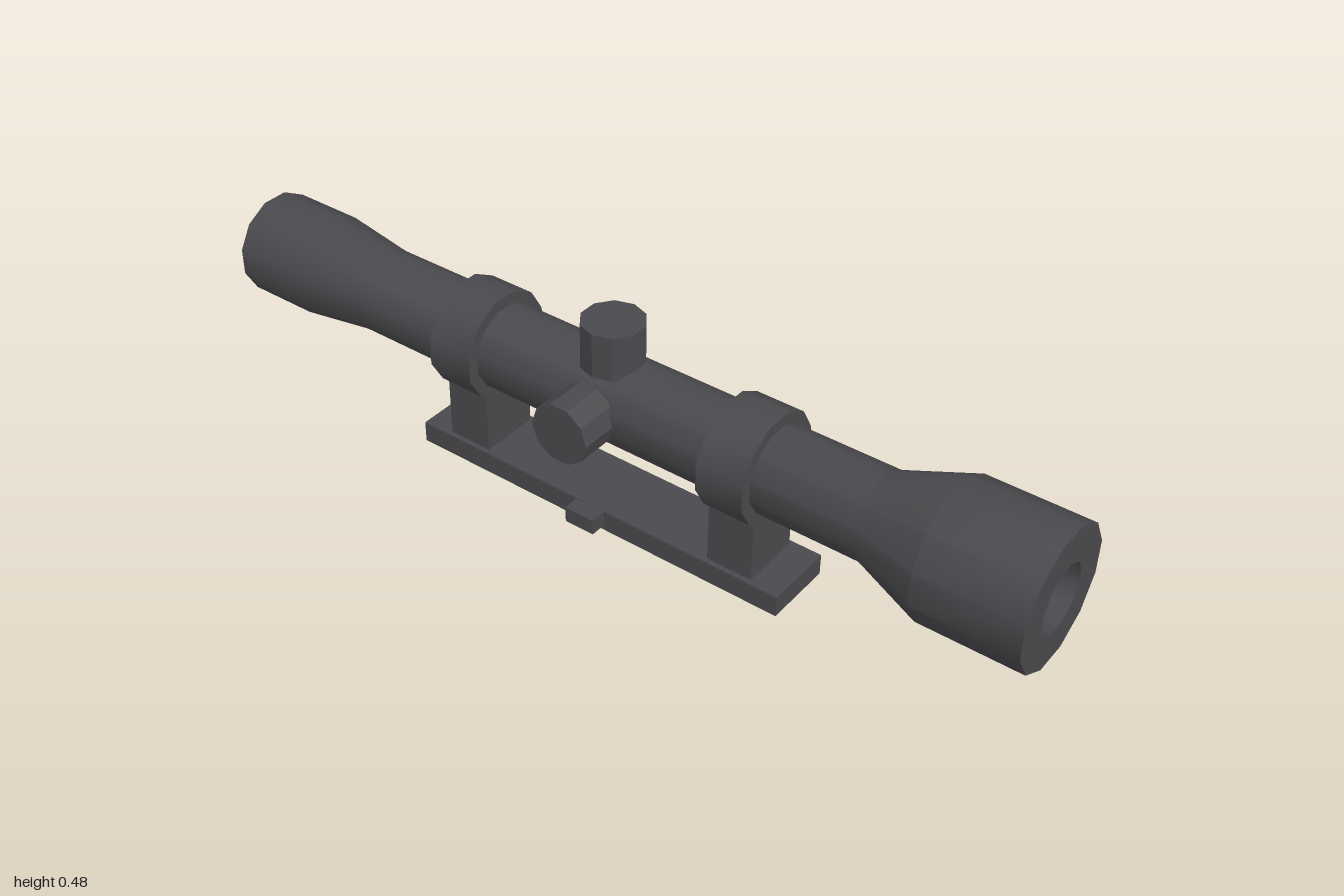
import * as THREE from 'three';
import { toCreasedNormals } from 'three/addons/utils/BufferGeometryUtils.js';

const AXIS_Y = 0.293, AXIS_Z = -0.015; // optical axis runs along x
const SIDES = 12;
const CREASE = 0.58; // 30 degree facets blend, 36 degree facets stay sharp

export function createModel() {
  const model = new THREE.Group();
  model.name = 'telescopicSight';
  const metal = new THREE.MeshStandardMaterial({ color: 0x4a494d });
  metal.name = 'darkGunmetal';

  function add(name, geometry, x, y, z) {
    const mesh = new THREE.Mesh(geometry, metal);
    mesh.name = name;
    mesh.position.set(x, y, z);
    model.add(mesh);
    return mesh;
  }

  // Box given by its limits on each axis
  function box(name, [x0, x1], [y0, y1], [z0, z1]) {
    return add(name, new THREE.BoxGeometry(x1 - x0, y1 - y0, z1 - z0),
      (x0 + x1) / 2, (y0 + y1) / 2, (z0 + z1) / 2);
  }

  // Twelve-sided turning along x; the profile is [distance to flat, x]
  function turned(name, profile) {
    const points = profile.map(([r, x]) => new THREE.Vector2(r / Math.cos(Math.PI / SIDES), x));
    const geometry = new THREE.LatheGeometry(points, SIDES, Math.PI / SIDES);
    geometry.rotateZ(-Math.PI / 2);
    return add(name, toCreasedNormals(geometry, CREASE), 0, AXIS_Y, AXIS_Z);
  }

  // Hollow tube with flared eyepiece and objective bell
  turned('scopeTube', [
    [0.0715, -1], [0.115, -1], [0.115, -0.83], [0.093, -0.66],
    [0.093, 0.62], [0.147, 0.77], [0.147, 1], [0.0715, 1], [0.0715, -1],
  ]);

  // Mounting rings on their posts
  for (const [side, x0, x1] of [['right', -0.42, -0.31], ['left', 0.275, 0.385]]) {
    turned(side + 'MountRing', [[0.085, x0], [0.1195, x0], [0.1195, x1], [0.085, x1], [0.085, x0]]);
    box(side + 'MountPost', [x0 + 0.001, x1 - 0.001], [0.045, 0.205], [-0.085, 0.055]);
  }

  // Adjustment turrets, ten-sided
  const turret = (length) => new THREE.CylinderGeometry(0.07, 0.07, length, 10).toNonIndexed();
  const topTurret = toCreasedNormals(turret(0.104), CREASE);
  add('topTurret', topTurret, -0.02, 0.425, AXIS_Z);
  const frontTurret = toCreasedNormals(turret(0.098).rotateY(Math.PI / 2).rotateX(Math.PI / 2), CREASE);
  add('frontTurret', frontTurret, -0.02, AXIS_Y, 0.114);

  // Base rail and its clamp block
  box('baseRail', [-0.49, 0.455], [0, 0.05], [-0.096, 0.067]);
  box('clampBlock', [-0.055, 0.018], [0.012, 0.049], [0.06, 0.105]);

  return model;
}
